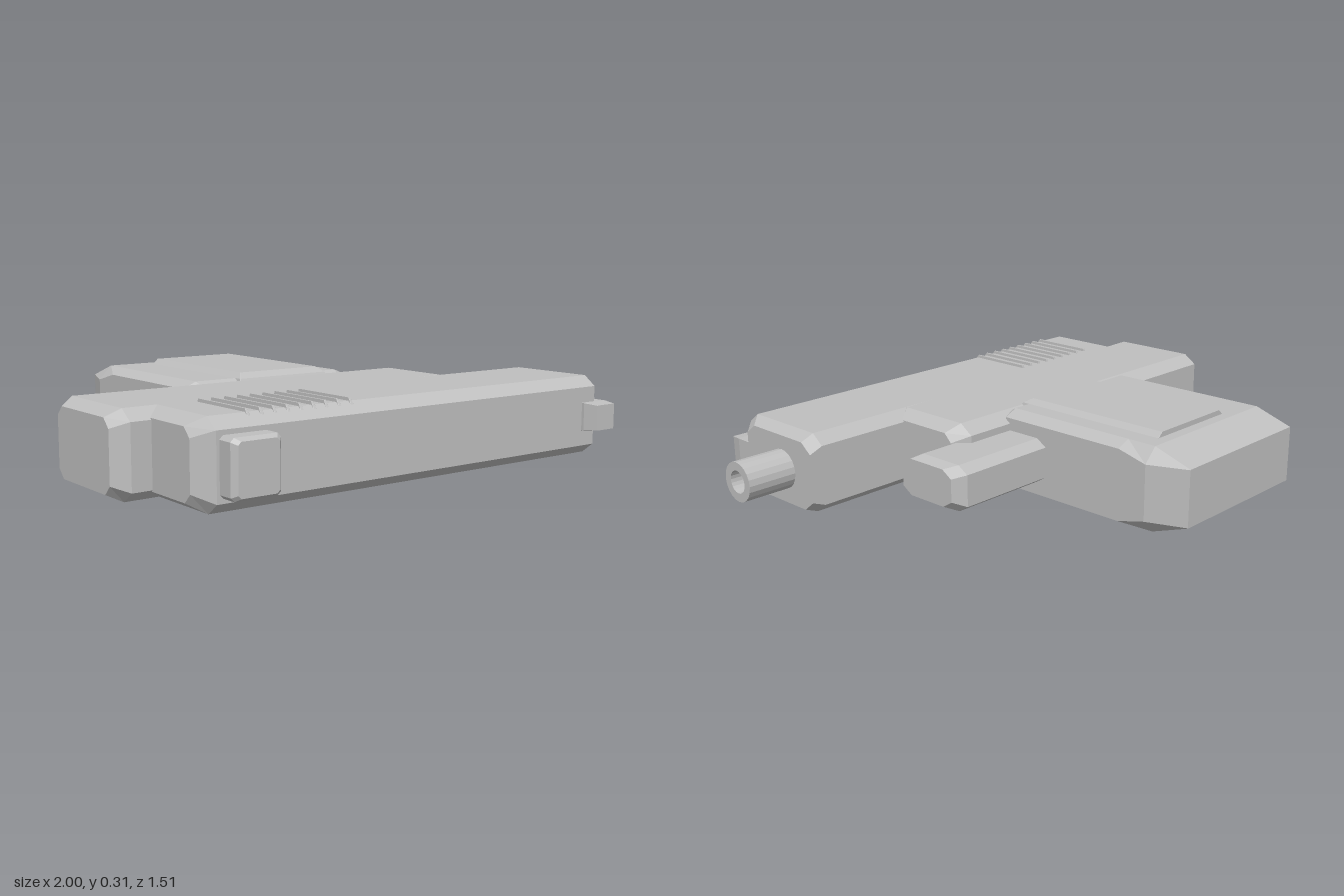
import * as THREE from 'three';

const grey = new THREE.MeshStandardMaterial({ color: 0xbfbfbf, flatShading: true });
grey.name = 'plain grey';

// Chamfered loft. Each section is [w, u0, u1, v0, v1, chamferU, chamferV],
// listed with w rising. Axis x uses (u,v) = (y,z), y uses (z,x), z uses (x,y).
function loft(name, axis, sections) {
  const place = {
    x: (u, v, w) => [w, u, v],
    y: (u, v, w) => [v, w, u],
    z: (u, v, w) => [u, v, w],
  }[axis];
  const rings = sections.map(([w, u0, u1, v0, v1, a = 0.001, b = a]) => [
    [u0 + a, v0], [u1 - a, v0], [u1, v0 + b], [u1, v1 - b],
    [u1 - a, v1], [u0 + a, v1], [u0, v1 - b], [u0, v0 + b],
  ].map(([u, v]) => place(u, v, w)));
  const pos = [];
  const tri = (...pts) => pts.forEach((p) => pos.push(...p));
  for (let s = 0; s + 1 < rings.length; s++) {
    const lo = rings[s], hi = rings[s + 1];
    for (let i = 0; i < 8; i++) {
      const j = (i + 1) % 8;
      tri(lo[i], lo[j], hi[j]);
      tri(lo[i], hi[j], hi[i]);
    }
  }
  const first = rings[0], last = rings[rings.length - 1];
  for (let i = 1; i < 7; i++) {
    tri(first[0], first[i + 1], first[i]);
    tri(last[0], last[i], last[i + 1]);
  }
  const geometry = new THREE.BufferGeometry();
  geometry.setAttribute('position', new THREE.Float32BufferAttribute(pos, 3));
  geometry.computeVertexNormals();
  const mesh = new THREE.Mesh(geometry, grey);
  mesh.name = name;
  return mesh;
}

export function createModel() {
  const model = new THREE.Group();
  model.name = 'blockyLauncher';

  // Long upper body with bevelled ends
  model.add(loft('upperBody', 'x', [
    [-0.88, 0.04, 0.26, 0.33, 0.62, 0.03],
    [-0.83, 0.01, 0.29, 0.27, 0.68, 0.035, 0.045],
    [0.77, 0.01, 0.29, 0.27, 0.68, 0.035, 0.045],
    [0.82, 0.03, 0.27, 0.27, 0.63, 0.035, 0.045],
  ]));

  // Lower frame
  model.add(loft('frame', 'x', [
    [-1.0, 0.035, 0.265, 0.03, 0.37, 0.03],
    [-0.95, 0.01, 0.29, -0.02, 0.41, 0.035, 0.05],
    [0.36, 0.01, 0.29, -0.02, 0.36, 0.035, 0.05],
    [0.41, 0.04, 0.26, 0.03, 0.31, 0.03],
  ]));

  // Grip narrowing towards its base
  model.add(loft('grip', 'z', [
    [-0.76, -0.48, 0.12, 0.05, 0.25],
    [-0.62, -0.53, 0.17, 0, 0.297, 0.05],
    [-0.51, -0.53, 0.17, 0, 0.297, 0.05, 0.022],
    [0.0, -0.53, 0.17, 0, 0.297, 0.05, 0.022],
    [0.03, -0.5, 0.14, 0.02, 0.28, 0.03, 0.02],
  ]));

  // Raised panel on the grip
  model.add(loft('gripPanel', 'y', [
    [0.28, -0.58, 0.04, -0.325, 0.055],
    [0.297, -0.58, 0.03, -0.32, 0.05],
    [0.315, -0.58, 0.0, -0.3, 0.03],
  ]));

  // Guard block between grip and frame
  model.add(loft('guard', 'x', [
    [0.15, 0.07, 0.23, -0.19, 0.06, 0.025, 0.04],
    [0.545, 0.07, 0.23, -0.19, 0.06, 0.025, 0.04],
    [0.58, 0.085, 0.215, -0.15, 0.085, 0.025, 0.04],
  ]));

  // Rear and front sights
  model.add(loft('rearSight', 'z', [
    [0.64, -0.82, -0.65, 0.06, 0.24, 0.012],
    [0.735, -0.82, -0.65, 0.06, 0.24, 0.012],
    [0.752, -0.805, -0.665, 0.07, 0.23, 0.01],
  ]));
  model.add(loft('frontSight', 'z', [
    [0.6, 0.705, 0.82, 0.1, 0.2],
    [0.69, 0.705, 0.82, 0.1, 0.2],
    [0.738, 0.72, 0.81, 0.105, 0.195],
  ]));

  // Thin ridges across the rear of the upper body
  for (let i = 0; i < 9; i++) {
    const x = -0.7 + i * 0.0472;
    model.add(loft('ridge', 'y', [
      [0.27, 0.37, 0.655, x - 0.006, x + 0.006],
      [0.3, 0.38, 0.635, x - 0.004, x + 0.004],
    ]));
  }

  // Hollow barrel
  const profile = [[0, 0.85], [0.04, 0.85], [0.04, 1], [0.07, 1], [0.07, 0.78]]
    .map(([r, l]) => new THREE.Vector2(r, l)).reverse();
  const barrel = new THREE.Mesh(new THREE.LatheGeometry(profile, 20), grey);
  barrel.name = 'barrel';
  barrel.rotation.z = -Math.PI / 2;
  barrel.position.set(0, 0.15, 0.43);
  model.add(barrel);

  return model;
}
